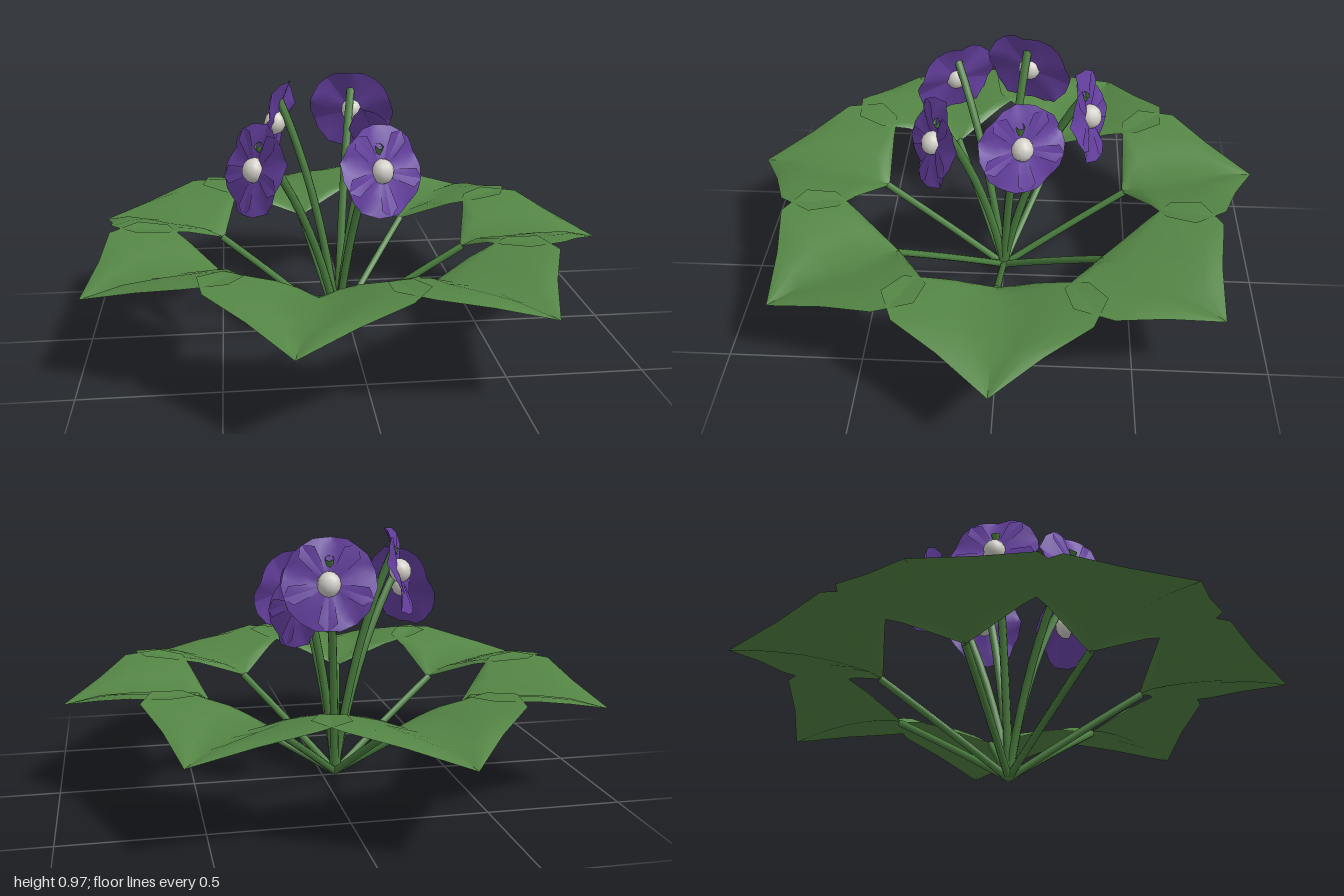
import * as THREE from 'three';

const mat = (name, color, side = THREE.FrontSide) => {
  const m = new THREE.MeshStandardMaterial({ color, side });
  m.name = name;
  return m;
};

// Symmetric blade growing along +x, from rows of
// [centre x, centre y, edge x, edge half width, edge y].
function blade(rows, bulge) {
  const pos = [], index = [], across = 6;
  rows.forEach(([cx, cy, ex, ez, ey], i) => {
    for (let j = 0; j <= across; j++) {
      const s = (j / across) * 2 - 1, a = Math.abs(s);
      const lift = bulge * Math.sin(Math.PI * a) * (ez > 0 ? 1 : 0);
      pos.push(cx + (ex - cx) * a, cy + (ey - cy) * a + lift, ez * s);
      if (i && j) {
        const d = i * (across + 1) + j, b = d - across - 1;
        index.push(b - 1, b, d, b - 1, d, d - 1);
      }
    }
  });
  const g = new THREE.BufferGeometry();
  g.setAttribute('position', new THREE.Float32BufferAttribute(pos, 3));
  g.setIndex(index);
  g.computeVertexNormals();
  return g;
}

// Stem bending in the xy plane from the crown to a tip.
function stemGeometry(points, radius) {
  const curve = new THREE.QuadraticBezierCurve3(
    ...points.map(([x, y]) => new THREE.Vector3(x, y, 0)));
  return new THREE.TubeGeometry(curve, 10, radius, 7, false);
}

export function createModel() {
  const leafGreen = mat('leaf green', 0x548545, THREE.DoubleSide);
  const stemGreen = mat('stem green', 0x4a7d3e, THREE.DoubleSide);
  const purple = mat('petal purple', 0x6540a0, THREE.DoubleSide);
  const cream = mat('pale centre', 0xd2cfc8);

  const model = new THREE.Group();
  model.name = 'floweringPlant';
  const plant = new THREE.Group();
  plant.name = 'plant';
  plant.position.x = -0.05;
  model.add(plant);

  const add = (parent, name, geometry, material) => {
    const mesh = new THREE.Mesh(geometry, material);
    mesh.name = name;
    parent.add(mesh);
    return mesh;
  };
  const arm = (name, angle) => {
    const g = new THREE.Group();
    g.name = name;
    g.rotation.y = angle;
    plant.add(g);
    return g;
  };

  // Ring of seven folded leaves on slanting stalks
  const leafGeo = blade([
    [0.48, 0.32, 0.48, 0, 0.32],
    [0.53, 0.34, 0.535, 0.21, 0.405],
    [0.58, 0.35, 0.56, 0.32, 0.435],
    [0.66, 0.36, 0.65, 0.386, 0.445],
    [0.76, 0.365, 0.785, 0.335, 0.44],
    [0.88, 0.36, 0.885, 0.175, 0.395],
    [1.02, 0.34, 1.02, 0, 0.34],
  ], 0.015);
  const stalkGeo = stemGeometry([[0, 0.01], [0.24, 0.17], [0.49, 0.32]], 0.014);
  for (let i = 0; i < 7; i++) {
    const g = arm('leafArm', (i / 7) * Math.PI * 2);
    add(g, 'leaf', leafGeo, leafGreen);
    add(g, 'leafStalk', stalkGeo, stemGreen);
  }

  // Wide overlapping petal with lifted sides, lying in the flower's xy plane
  const petalGeo = blade([
    [0, 0, 0, 0, 0],
    [0.05, 0.002, 0.045, 0.06, 0.012],
    [0.1, 0, 0.09, 0.108, 0.02],
    [0.14, -0.006, 0.13, 0.1, 0.018],
    [0.168, -0.012, 0.158, 0.06, 0.008],
  ], 0.003).rotateX(Math.PI / 2);
  const centreGeo = new THREE.SphereGeometry(0.042, 12, 8);

  // Five flowers: heading in degrees, distance from the crown, height
  const tilt = 0.26;
  for (const [heading, r, y] of [
    [74, 0.32, 0.805], [25, 0.17, 0.7], [-62, 0.28, 0.7],
    [-147, 0.37, 0.705], [159, 0.235, 0.81],
  ]) {
    const g = arm('flowerArm', THREE.MathUtils.degToRad(heading));
    add(g, 'flowerStem', stemGeometry(
      [[0, 0.01], [r * 0.28, y * 0.68], [r - 0.012, y + 0.09]], 0.016), stemGreen);

    const flower = new THREE.Group();
    flower.name = 'flower';
    flower.position.set(r, y, 0);
    flower.rotation.set(-tilt, Math.PI / 2, 0, 'YXZ');
    g.add(flower);
    for (let i = 0; i < 5; i++) {
      add(flower, 'petal', petalGeo, purple).rotation.z = Math.PI / 2 + (i / 5) * Math.PI * 2;
    }
    const centre = add(flower, 'flowerCentre', centreGeo, cream);
    centre.position.z = 0.008;
    centre.scale.y = 1.08;
  }
  return model;
}
